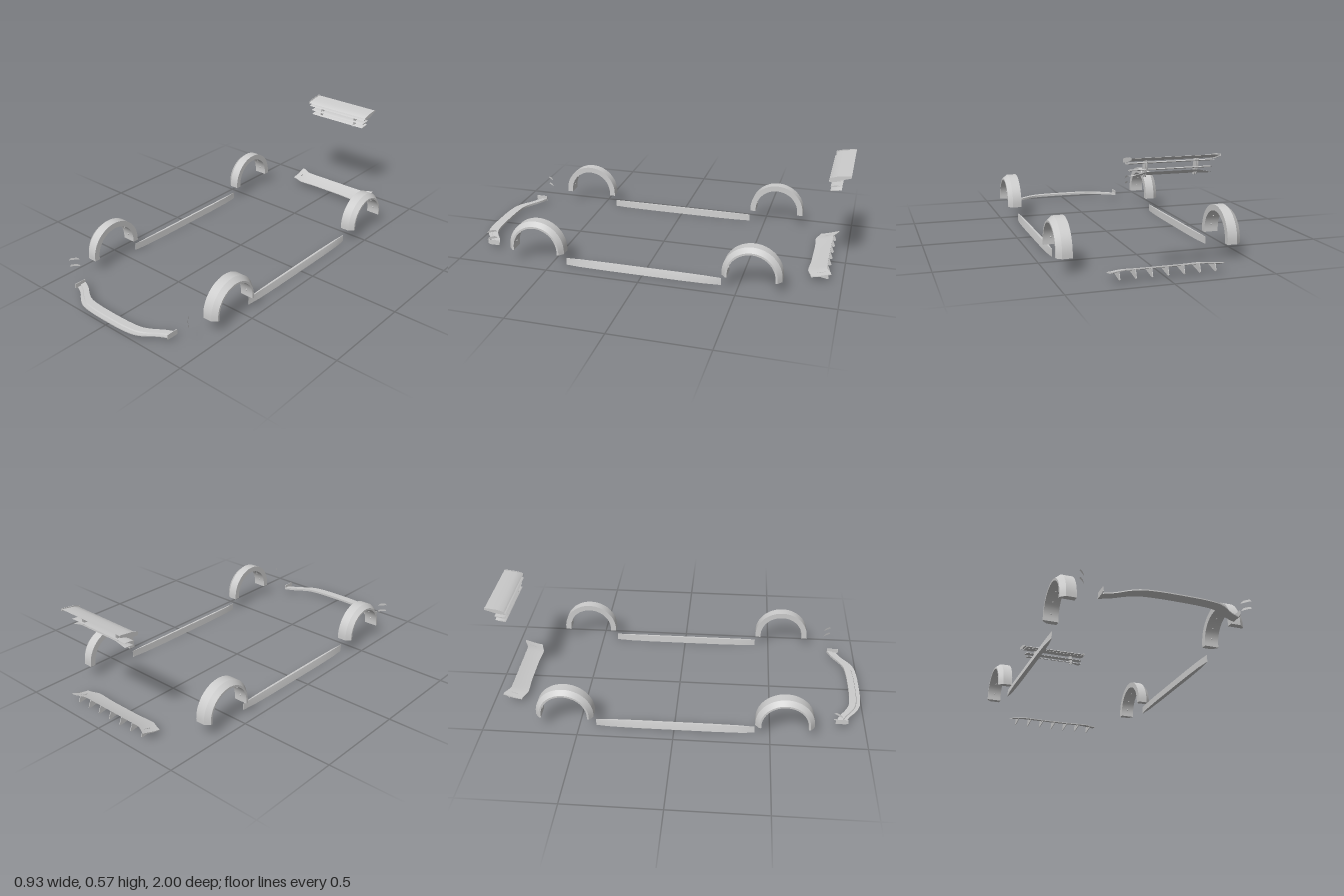
import * as THREE from 'three';
import { toCreasedNormals } from 'three/addons/utils/BufferGeometryUtils.js';

const grey = new THREE.MeshStandardMaterial({ color: 0xcccccc, side: THREE.DoubleSide });
grey.name = 'panelGrey';

// Closed skin over a row of matching cross-sections, turned so faces point outward
function loft(rings) {
  const n = rings[0].length, tris = [];
  for (let r = 0; r < rings.length - 1; r++) {
    const a = rings[r], b = rings[r + 1];
    for (let i = 0; i < n; i++) {
      const j = (i + 1) % n;
      tris.push([a[i], a[j], b[j]], [a[i], b[j], b[i]]);
    }
  }
  const first = rings[0], last = rings[rings.length - 1];
  for (let i = 1; i < n - 1; i++) {
    tris.push([first[0], first[i + 1], first[i]], [last[0], last[i], last[i + 1]]);
  }
  const V = (p) => new THREE.Vector3(...p);
  const origin = V(first[0]);
  let volume = 0;
  for (const t of tris) {
    const [p, q, s] = t.map((c) => V(c).sub(origin));
    volume += p.dot(q.cross(s));
  }
  if (volume < 0) tris.forEach((t) => t.reverse());
  const geo = new THREE.BufferGeometry();
  geo.setAttribute('position', new THREE.Float32BufferAttribute(tris.flat(2), 3));
  return toCreasedNormals(geo, 0.5);
}

export function createModel() {
  const model = new THREE.Group();
  model.name = 'bodyKit';
  const add = (name, geo, parent = model) => {
    const mesh = new THREE.Mesh(geo, grey);
    mesh.name = name;
    parent.add(mesh);
    return mesh;
  };
  // Section in (z, y) stretched between two x positions
  const spanX = (section, x0, x1) =>
    loft([x0, x1].map((x) => section.map(([z, y]) => [x, y, z])));

  // Wide wheel arches with rivets along the inner face
  function fender(s, zc, name) {
    const group = new THREE.Group();
    group.name = name;
    model.add(group);
    const cy = 0.092, steps = 32;
    const section = [[0.388, 0.121], [0.388, 0.152], [0.438, 0.152], [0.463, 0.131], [0.463, 0.121]];
    const rings = [];
    for (let i = -1; i <= steps + 1; i++) {
      const a = Math.PI * THREE.MathUtils.clamp(i / steps, 0, 1);
      const drop = i < 0 || i > steps ? 0.016 : 0;
      rings.push(section.map(([x, r]) =>
        [s * x, cy + r * Math.sin(a) - drop, zc + r * Math.cos(a)]));
    }
    add('archPanel', loft(rings), group);
    for (let i = 0; i < 7; i++) {
      const a = Math.PI * (0.06 + 0.88 * i / 6);
      const rivet = add('rivet', new THREE.SphereGeometry(0.0045, 8, 6), group);
      rivet.position.set(s * 0.425, cy + 0.121 * Math.sin(a), zc + 0.121 * Math.cos(a));
    }
  }

  for (const s of [1, -1]) {
    const side = s > 0 ? 'left' : 'right';
    fender(s, 0.573, side + 'FrontFender');
    fender(s, -0.57, side + 'RearFender');

    // Side skirt, tapering to a thin edge at both ends
    const skirt = [[0.42, 0.15], [0.34, 0.75], [0.2, 1], [-0.2, 1], [-0.33, 0.75], [-0.412, 0.15]];
    add(side + 'SideSkirt', loft(skirt.map(([z, k]) =>
      [[-0.012, 0.002], [0.011, 0.002], [0.007, 0.022], [0.002, 0.04], [-0.009, 0.04]]
        .map(([dx, y]) => [s * (0.411 + dx * k), y, z]))));

    // Pair of small upright canard blades, angled across the corner
    for (const y of [0.096, 0.134]) {
      const shape = new THREE.Shape();
      shape.moveTo(-0.028, 0);
      shape.quadraticCurveTo(0, 0.003, 0.028, 0);
      shape.lineTo(0.018, 0.012);
      shape.lineTo(-0.012, 0.013);
      shape.lineTo(-0.022, 0.008);
      const blade = add(side + 'Canard', new THREE.ShapeGeometry(shape));
      blade.position.set(s * 0.406, y, 0.845);
      blade.rotation.y = s > 0 ? -0.88 : 0.88 + Math.PI;
    }

    // Upturned end plate of the splitter
    add(side + 'SplitterFin', spanX(
      [[0.845, 0.022], [0.9, 0.022], [0.912, 0.028], [0.91, 0.05], [0.845, 0.05]], s * 0.329, s * 0.332));
  }

  // Front splitter: stepped lip swept along a curved nose
  const outer = new THREE.CatmullRomCurve3([
    [0, 0.998], [0.1, 0.996], [0.18, 0.985], [0.225, 0.963], [0.28, 0.92], [0.33, 0.895],
  ].map(([x, z]) => new THREE.Vector3(x, 0, z)));
  const inner = new THREE.CatmullRomCurve3([
    [0, 0.938], [0.1, 0.936], [0.18, 0.926], [0.225, 0.905], [0.28, 0.868], [0.33, 0.845],
  ].map(([x, z]) => new THREE.Vector3(x, 0, z)));
  const lip = [[0, 0.022], [1, 0.022], [1, 0.027], [0.66, 0.027], [0.6, 0.033], [0, 0.034]];
  const splitter = [];
  for (let i = -16; i <= 16; i++) {
    const t = Math.abs(i) / 16, o = outer.getPoint(t), n = inner.getPoint(t);
    splitter.push(lip.map(([k, y]) =>
      [Math.sign(i) * (n.x + (o.x - n.x) * k), y, n.z + (o.z - n.z) * k]));
  }
  add('frontSplitter', loft(splitter));

  // Rear diffuser: upswept tray with flared outer corners
  const tray = [];
  for (let i = -12; i <= 12; i++) {
    const x = 0.266 * i / 12, u = Math.abs(x);
    const flare = THREE.MathUtils.smoothstep(u, 0.19, 0.266);
    const z0 = -0.828 + 0.006 * THREE.MathUtils.smoothstep(u, 0.08, 0.2) - 0.022 * flare;
    const z1 = -0.915 - 0.029 * flare;
    const rows = [[z0, 0.032], [z0 * 0.5 + z1 * 0.5, 0.041], [z1, 0.057 + 0.003 * flare]];
    tray.push([...rows.map(([z, y]) => [x, y, z]),
      ...rows.reverse().map(([z, y]) => [x, y + 0.004, z])]);
  }
  add('diffuserTray', loft(tray));
  for (let i = -3; i <= 3; i++) {
    const x = i * 0.077;
    add('diffuserFin', spanX(
      [[-0.835, 0.032], [-0.925, 0.016], [-0.932, 0.022], [-0.918, 0.058], [-0.872, 0.042]],
      x - 0.0015, x + 0.0015));
  }

  // Rear wing: main plane, flap and two lower blades
  const wing = new THREE.Group();
  wing.name = 'rearWing';
  model.add(wing);
  const foil = (z0, y0, z1, y1, thick) => {
    const at = (t, d) => [z0 + (z1 - z0) * t, y0 + (y1 - y0) * t + d * thick];
    return [at(0, 0), at(0.08, 0.35), at(0.35, 0.45), at(0.7, 0.25), at(1, 0),
      at(0.7, -0.35), at(0.35, -0.55), at(0.08, -0.35)];
  };
  add('mainPlane', spanX(foil(-0.896, 0.545, -0.998, 0.569, 0.013), -0.204, 0.204), wing);
  add('lowerFlap', spanX(foil(-0.89, 0.531, -0.955, 0.541, 0.008), -0.197, 0.197), wing);
  add('middleBlade', spanX(foil(-0.9, 0.502, -0.957, 0.511, 0.007), -0.187, 0.187), wing);
  // Bottom blade rises toward the middle at its rear edge
  add('bottomBlade', loft([[-0.183, 0.486], [-0.12, 0.5], [0.12, 0.5], [0.183, 0.486]].map(([x, y]) =>
    foil(-0.9, 0.478, -0.955, y, 0.006).map(([z, h]) => [x, h, z]))), wing);
  for (const s of [1, -1]) {
    add('endPlate', spanX(
      [[-0.895, 0.538], [-0.935, 0.541], [-1, 0.562], [-0.998, 0.573], [-0.93, 0.564], [-0.894, 0.553]],
      s * 0.204, s * 0.207), wing);
    // Slim twin-sided supports
    for (const d of [-0.004, 0.004]) {
      const x = s * 0.119 + d;
      add('strut', spanX(
        [[-0.903, 0.473], [-0.925, 0.473], [-0.945, 0.505], [-0.95, 0.548], [-0.92, 0.545], [-0.915, 0.505]],
        x - 0.0018, x + 0.0018), wing);
    }
  }
  return model;
}
